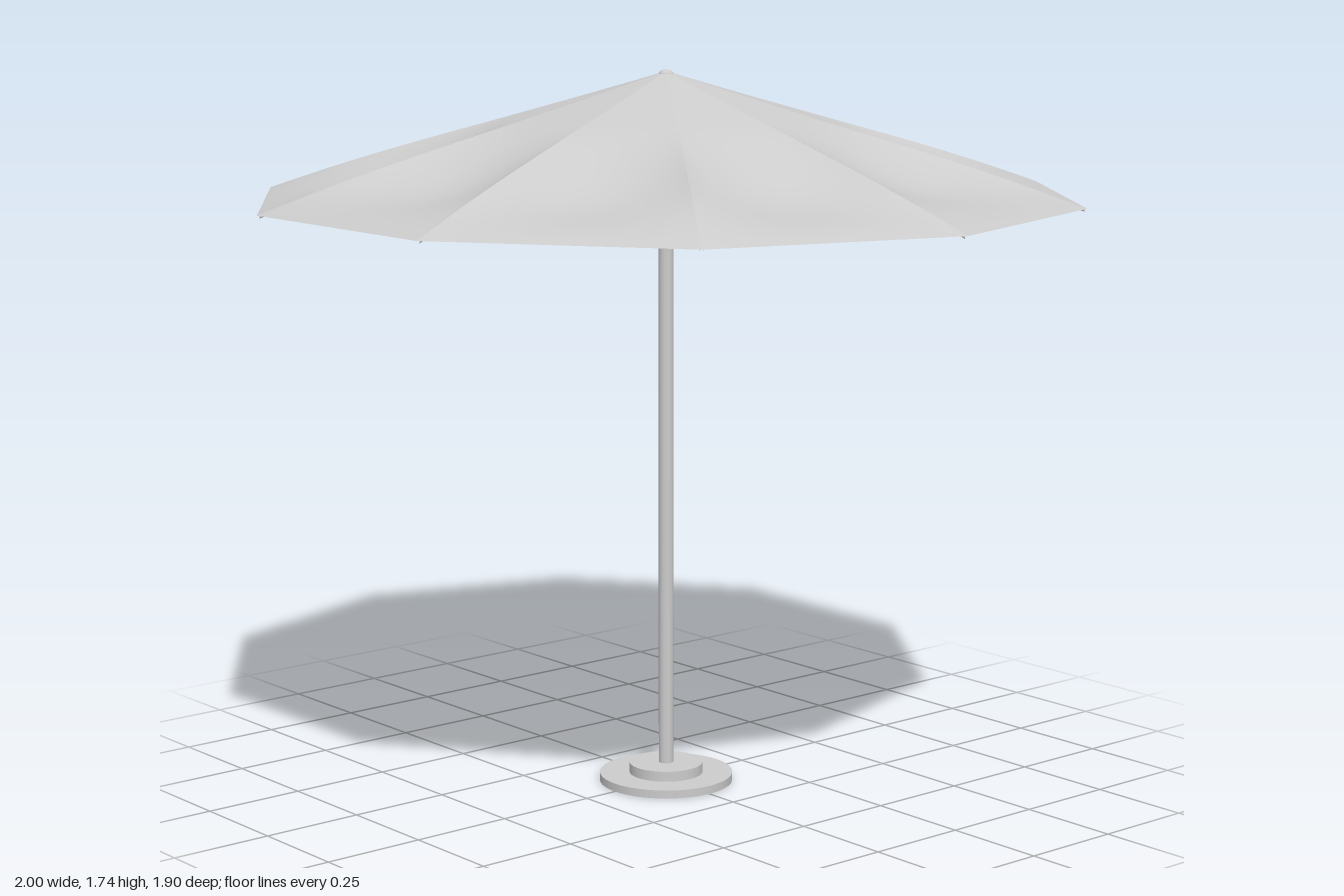
import * as THREE from 'three';

const SIDES = 10, APEX = 1.737, RIM = 1.437;
const STEP = (Math.PI * 2) / SIDES;
const material = new THREE.MeshStandardMaterial({ color: 0xcccccc });
const cloth = new THREE.MeshStandardMaterial({ color: 0xcccccc, side: THREE.DoubleSide });

function add(group, name, geometry, y = 0, mat = material) {
  const mesh = new THREE.Mesh(geometry, mat);
  mesh.name = name;
  mesh.position.y = y;
  group.add(mesh);
  return mesh;
}

// Height of a rib: a nearly straight slope, bowed up very slightly
const ribHeight = t => APEX + (RIM - APEX) * t + 0.008 * Math.sin(Math.PI * t * t);

// How far the cloth hangs below the ribs: t runs apex to rim, s across the panel
function sag(t, s) {
  const along = THREE.MathUtils.smoothstep(t, 0.34, 0.68) * (1 - THREE.MathUtils.smoothstep(t, 0.68, 1));
  return 0.045 * along * Math.pow(Math.sin(Math.PI * s), 0.85);
}

// One triangular cloth panel between two neighbouring ribs
function panelGeometry() {
  const rows = 28, cols = 20, positions = [], indices = [];
  for (let i = 0; i <= rows; i++) {
    const t = Math.max(i / rows, 0.001);
    for (let j = 0; j <= cols; j++) {
      const s = j / cols;
      const x = t * THREE.MathUtils.lerp(1, Math.cos(STEP), s);
      const z = t * Math.sin(STEP) * s;
      positions.push(x, ribHeight(t) - sag(t, Math.min(Math.max(s, 0), 1)), z);
      if (i < rows && j < cols) {
        const a = i * (cols + 1) + j, b = a + cols + 1;
        indices.push(a, a + 1, b, b, a + 1, b + 1);
      }
    }
  }
  const geometry = new THREE.BufferGeometry();
  geometry.setAttribute('position', new THREE.Float32BufferAttribute(positions, 3));
  geometry.setIndex(indices);
  geometry.computeVertexNormals();
  return geometry;
}

export function createModel() {
  const model = new THREE.Group();
  model.name = 'parasol';

  // Stepped round foot
  add(model, 'basePlate', new THREE.CylinderGeometry(0.163, 0.163, 0.02, 48), 0.01);
  add(model, 'baseCollar', new THREE.CylinderGeometry(0.09, 0.09, 0.025, 40), 0.0325);

  // Pole with a rounded tip just piercing the canopy
  add(model, 'pole', new THREE.CylinderGeometry(0.018, 0.018, 1.69, 24), 0.885);
  const tip = add(model, 'poleTip', new THREE.SphereGeometry(0.018, 24, 8, 0, Math.PI * 2, 0, Math.PI / 2), 1.73);
  tip.scale.y = 0.6;

  // Ten sagging panels, each with a thin rib underneath
  const canopy = new THREE.Group();
  canopy.name = 'canopy';
  model.add(canopy);
  const panel = panelGeometry();
  const ribPoints = [];
  for (let i = 0; i <= 8; i++) {
    const t = 0.01 + 0.985 * (i / 8);
    ribPoints.push(new THREE.Vector3(t, ribHeight(t) - 0.005, 0));
  }
  const rib = new THREE.TubeGeometry(new THREE.CatmullRomCurve3(ribPoints), 16, 0.004, 6);
  for (let k = 0; k < SIDES; k++) {
    add(canopy, 'canopyPanel', panel, 0, cloth).rotation.y = k * STEP;
    add(canopy, 'rib', rib).rotation.y = k * STEP;
  }
  return model;
}
